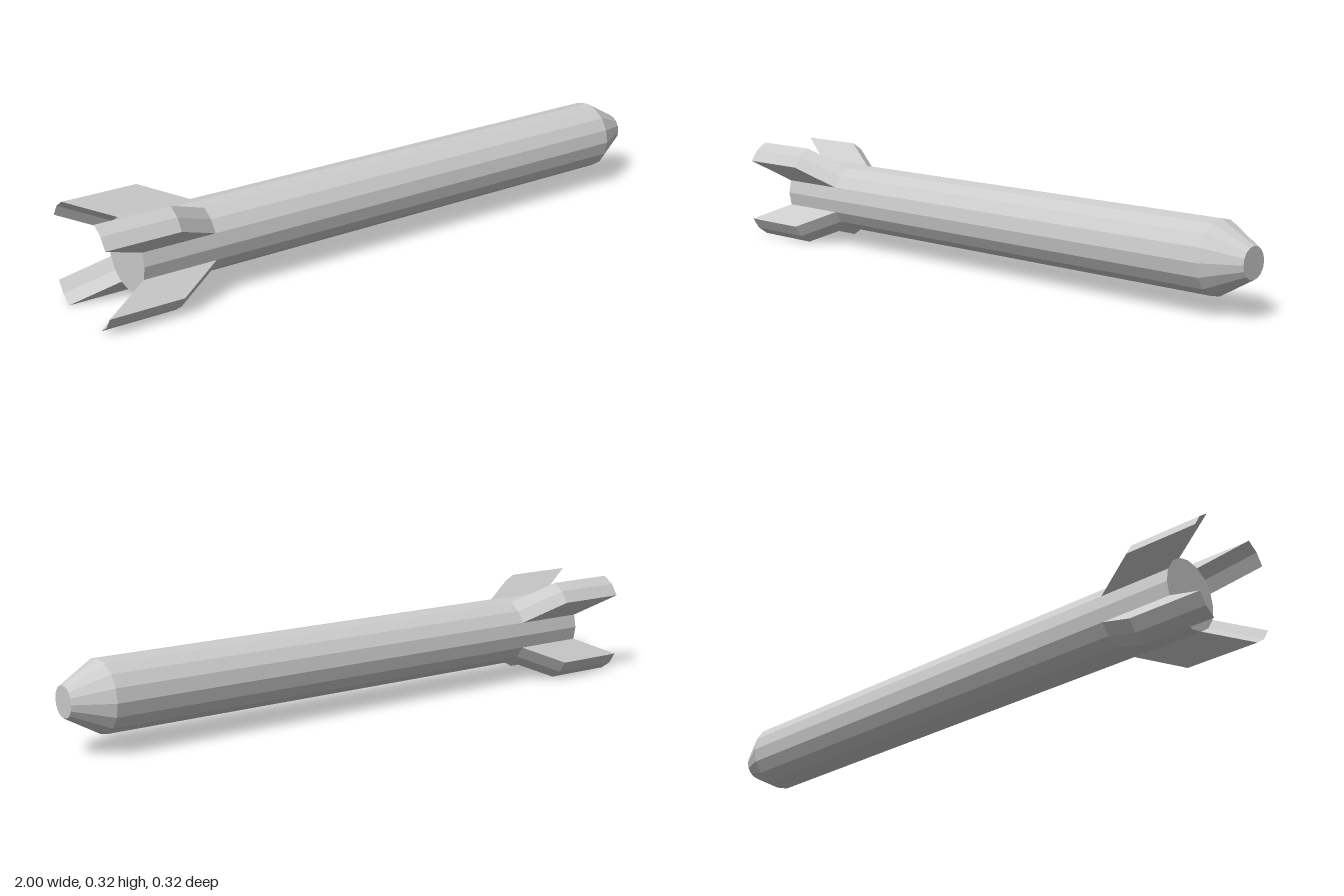
import * as THREE from 'three';

const SIDES = 16, RADIUS = 0.109, AXIS_Y = 0.161;
const TAIL = -0.86, SHOULDER = 0.89, TIP = 1;

// A fin is two hull facets pushed outward along +y and swept toward the tail.
function finGeometry() {
  const height = 0.0845;
  const point = (i, outer, front) => {
    const a = (i - 1) * 2 * Math.PI / SIDES;
    const x = outer ? (front ? -0.765 : -1) : (front ? -0.625 : TAIL);
    return [x, RADIUS * Math.cos(a) + (outer ? height : 0), RADIUS * Math.sin(a)];
  };
  const positions = [];
  const quad = (a, b, c, d) => positions.push(...a, ...b, ...c, ...a, ...c, ...d);
  for (let i = 0; i < 2; i++) {
    const j = i + 1;
    quad(point(i, 1, 0), point(j, 1, 0), point(j, 1, 1), point(i, 1, 1)); // outer edge
    quad(point(i, 0, 1), point(i, 1, 1), point(j, 1, 1), point(j, 0, 1)); // leading face
    quad(point(j, 0, 0), point(j, 1, 0), point(i, 1, 0), point(i, 0, 0)); // trailing face
  }
  quad(point(2, 0, 0), point(2, 0, 1), point(2, 1, 1), point(2, 1, 0)); // +z side
  quad(point(0, 1, 0), point(0, 1, 1), point(0, 0, 1), point(0, 0, 0)); // -z side
  const geometry = new THREE.BufferGeometry();
  geometry.setAttribute('position', new THREE.Float32BufferAttribute(positions, 3));
  geometry.computeVertexNormals();
  return geometry;
}

// Faceted round section lying along x.
function section(x0, x1, r0, r1, open) {
  const geometry = new THREE.CylinderGeometry(r1, r0, x1 - x0, SIDES, 1, open);
  geometry.rotateZ(-Math.PI / 2).translate((x0 + x1) / 2, 0, 0);
  const flat = geometry.toNonIndexed();
  flat.computeVertexNormals();
  return flat;
}

export function createModel() {
  const model = new THREE.Group();
  model.name = 'rocket';
  const grey = new THREE.MeshStandardMaterial({ color: 0xcccccc });
  grey.name = 'light grey';

  const add = (name, geometry) => {
    const mesh = new THREE.Mesh(geometry, grey);
    mesh.name = name;
    mesh.position.y = AXIS_Y;
    model.add(mesh);
    return mesh;
  };

  // Hull, tail disc and blunt nose
  add('hull', section(TAIL, SHOULDER, RADIUS, RADIUS, true));
  add('nose', section(SHOULDER, TIP, RADIUS, 0.0475, false));
  const tail = new THREE.CircleGeometry(RADIUS, SIDES);
  tail.rotateY(-Math.PI / 2).translate(TAIL, 0, 0);
  add('tailDisc', tail);

  // Four diagonal fins
  const fin = finGeometry();
  for (let k = 0; k < 4; k++) {
    add('fin' + (k + 1), fin).rotation.x = Math.PI / 4 + k * Math.PI / 2;
  }
  return model;
}
